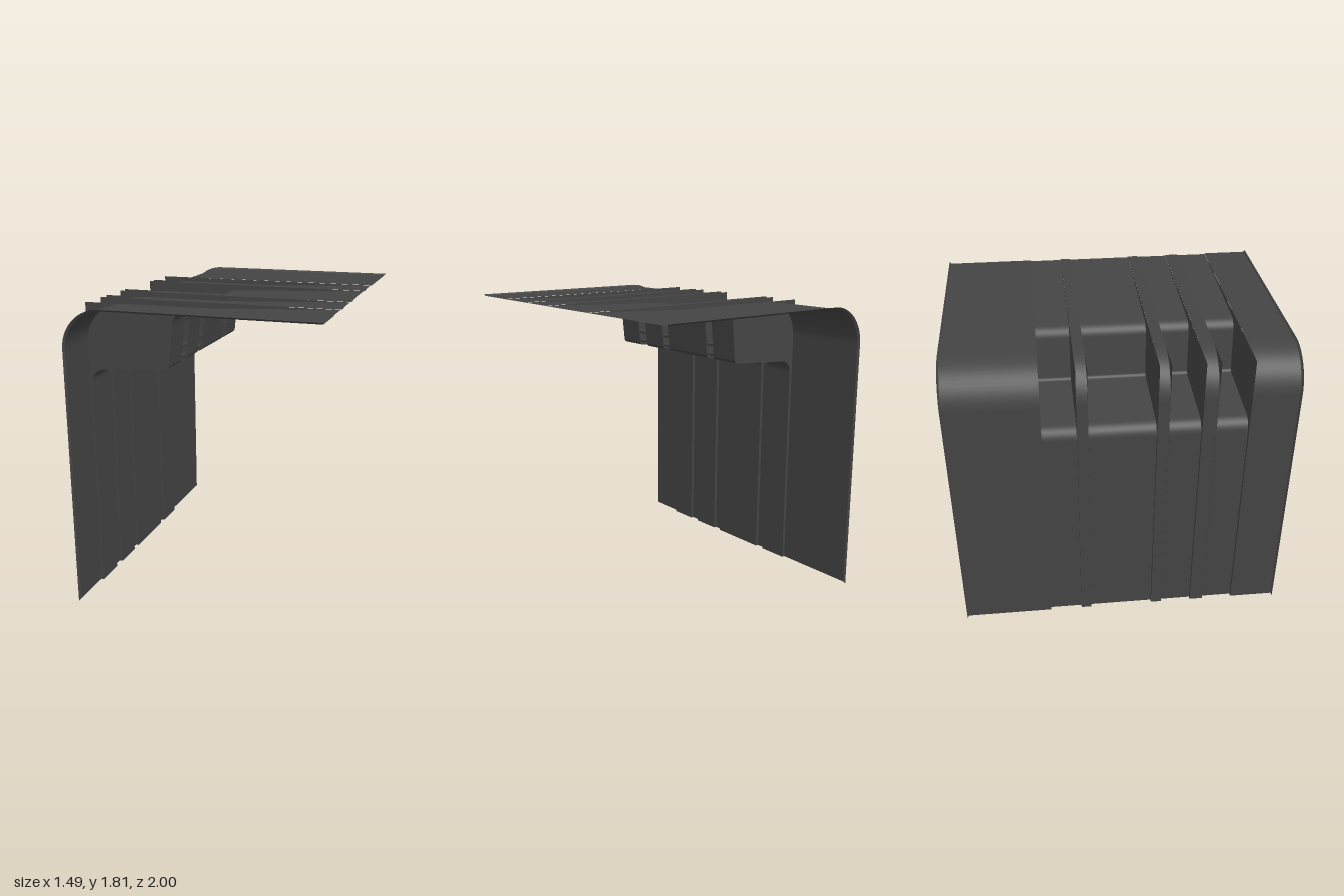
import * as THREE from 'three';

const material = new THREE.MeshStandardMaterial({ color: 0x444444, side: THREE.DoubleSide });

// Points of a polyline whose inner corners are rounded: corners are [x, y, radius]
function roundedProfile(corners) {
  const path = new THREE.Path();
  corners.forEach(([x, y, r], i) => {
    const p = new THREE.Vector2(x, y);
    if (i === 0) { path.moveTo(x, y); return; }
    if (!r) { path.lineTo(x, y); return; }
    const towards = (c) => new THREE.Vector2(c[0], c[1]).sub(p).setLength(r).add(p);
    const a = towards(corners[i - 1]), b = towards(corners[i + 1]);
    // cubic close to a circular arc
    const c1 = a.clone().lerp(p, 0.55), c2 = b.clone().lerp(p, 0.55);
    path.lineTo(a.x, a.y);
    path.bezierCurveTo(c1.x, c1.y, c2.x, c2.y, b.x, b.y);
  });
  return path.getPoints(14);
}

// Thin sheet lofted between two matching profiles at z0 and z1
function sheet(name, profileA, z0, z1, profileB = profileA) {
  const pos = [], index = [];
  profileA.forEach((p, i) => {
    pos.push(p.x, p.y, z0, profileB[i].x, profileB[i].y, z1);
    if (i > 0) {
      const k = 2 * i;
      index.push(k - 2, k - 1, k, k, k - 1, k + 1);
    }
  });
  const geometry = new THREE.BufferGeometry();
  geometry.setAttribute('position', new THREE.Float32BufferAttribute(pos, 3));
  geometry.setIndex(index);
  geometry.computeVertexNormals();
  const mesh = new THREE.Mesh(geometry, material);
  mesh.name = name;
  return mesh;
}

export function createModel() {
  const group = new THREE.Group();
  group.name = 'foldedPanel';

  // Smooth outer bend, its flared edge, and the stepped bend of the recesses
  const outer = roundedProfile([[-0.735, 0.012], [-0.735, 1.8, 0.235], [0.733, 1.8]]);
  const flared = roundedProfile([[-0.745, 0], [-0.745, 1.81, 0.235], [0.74, 1.81]]);
  const stepped = roundedProfile([
    [-0.715, 0.012], [-0.715, 1.398, 0.07], [-0.222, 1.435, 0.02],
    [-0.19, 1.762, 0.06], [0.725, 1.798],
  ]);

  // Wide end panels with flared rims
  group.add(sheet('frontPanel', outer, 0.72, 0.99));
  group.add(sheet('backPanel', outer, -0.99, -0.46));
  group.add(sheet('frontRim', outer, 0.99, 1, flared));
  group.add(sheet('backRim', flared, -1, -0.99, outer));

  // Side wall outline: stepped bend on the inside, square corner on the outside
  const wallShape = new THREE.Shape([
    ...stepped, new THREE.Vector2(-0.738, 1.8), new THREE.Vector2(-0.738, 0.012),
  ]);
  const wallGeometry = new THREE.ShapeGeometry(wallShape);

  // Recessed channels, each closed by a wall on both sides
  const channels = [[-0.46, -0.262], [-0.198, 0.192], [0.258, 0.448], [0.53, 0.72]];
  channels.forEach(([z0, z1], i) => {
    group.add(sheet('recessedChannel', stepped, z0, z1));
    for (const z of [z0, z1]) {
      const wall = new THREE.Mesh(wallGeometry, material);
      wall.name = 'channelWall';
      wall.position.z = z;
      group.add(wall);
    }
    if (i === channels.length - 1) return;

    // Raised rib up to the next channel, with small cross bars in the slot beneath
    const next = channels[i + 1][0];
    group.add(sheet('rib', outer, z1, next));
    for (const [x, y] of [[-0.212, 1.695], [-0.228, 1.53], [-0.238, 1.465]]) {
      const bar = new THREE.Mesh(new THREE.CylinderGeometry(0.012, 0.012, next - z1, 12), material);
      bar.name = 'crossBar';
      bar.rotation.x = Math.PI / 2;
      bar.position.set(x, y, (z1 + next) / 2);
      group.add(bar);
    }
  });

  return group;
}
